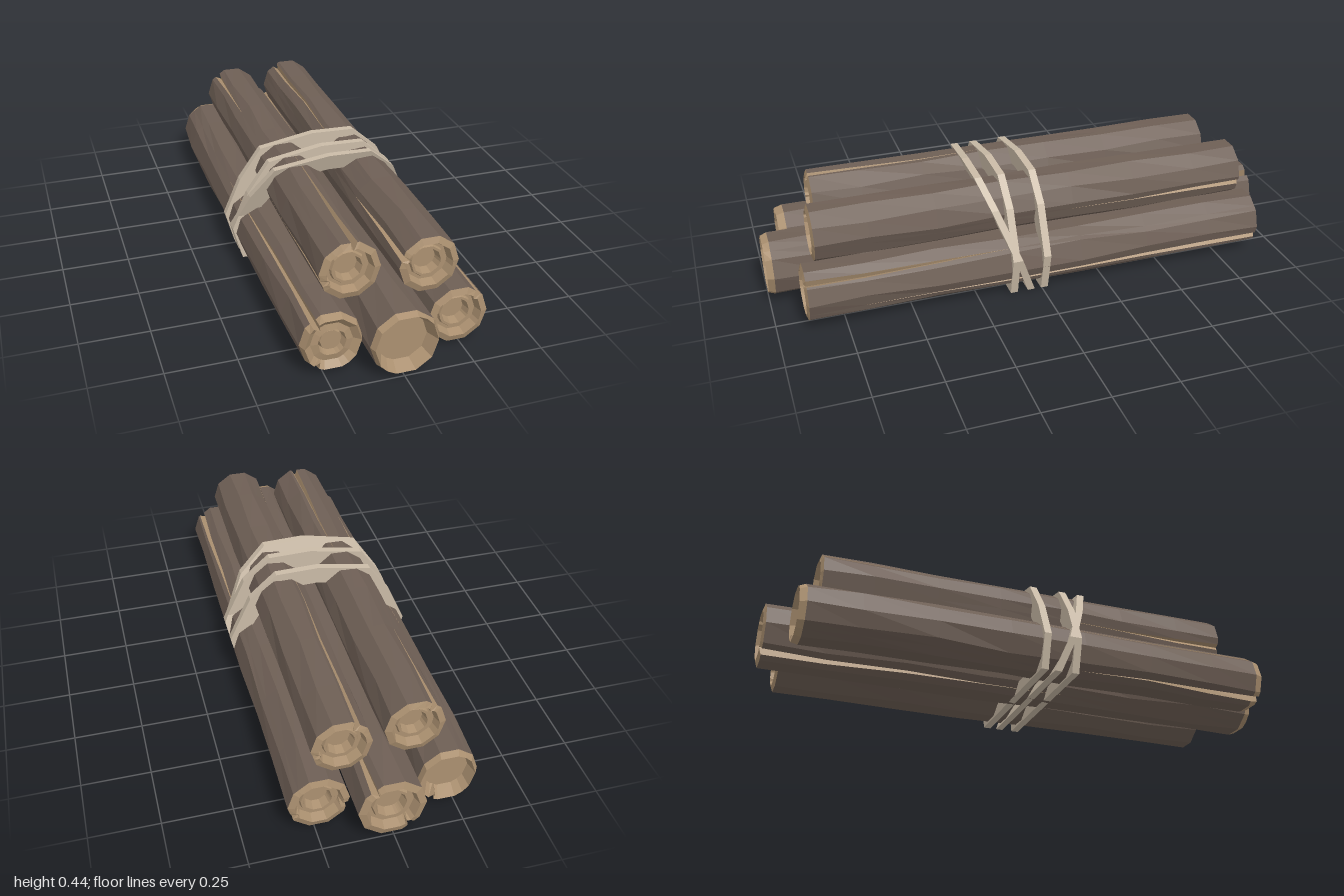
import * as THREE from 'three';

const SIDES = 10;

function makeRandom(seed) {
  let s = seed;
  return () => ((s = (s * 16807) % 2147483647) / 2147483647);
}

// End profiles: [fraction of radius, offset along the log], from rim to centre
const BOWL = [[1, -0.025], [0.92, 0], [0.74, -0.05], [0, -0.05]];
const STEPS = [[1, -0.008], [0.78, 0], [0.69, -0.035], [0.58, -0.035], [0.54, -0.025],
  [0.46, -0.025], [0.39, -0.06], [0, -0.06]];
const BEVELLED_STEPS = [[1, -0.03], [0.9, 0], [0.68, -0.02], [0.46, -0.015], [0.4, -0.05],
  [0.34, -0.03], [0, -0.03]];

// cracks: { deg, end (1 front, -1 back), len }
const LOGS = [
  { name: 'bottomRightLog', x: -0.22, y: 0.112, r: 0.109, z0: -0.91, z1: 0.92, front: BEVELLED_STEPS, back: BOWL,
    bulge: -0.018, cracks: [{ deg: 126, end: 1, len: 0.9 }, { deg: 234, end: 1, len: 0.6 }, { deg: 304, end: -1, len: 0.9 }] },
  { name: 'bottomMiddleLog', x: 0.005, y: 0.115, r: 0.12, z0: -1, z1: 1, front: BOWL, back: STEPS,
    bulge: 0, cracks: [{ deg: 234, end: -1, len: 0.9 }, { deg: 54, end: -1, len: 0.4 }] },
  { name: 'bottomLeftLog', x: 0.235, y: 0.111, r: 0.108, z0: -0.91, z1: 0.89, front: STEPS, back: STEPS,
    bulge: 0, cracks: [{ deg: 47, end: 1, len: 0.75 }, { deg: 336, end: -1, len: 1.5 }, { deg: 198, end: -1, len: 0.5 }] },
  { name: 'topRightLog', x: -0.122, y: 0.3, r: 0.109, z0: -0.83, z1: 0.8, front: STEPS, back: STEPS,
    bulge: 0, cracks: [{ deg: 128, end: -1, len: 0.35 }, { deg: 83, end: 1, len: 0.55 }, { deg: 200, end: 1, len: 0.5 }] },
  { name: 'topLeftLog', x: 0.143, y: 0.299, r: 0.107, z0: -0.86, z1: 0.84, front: STEPS, back: STEPS,
    bulge: 0, cracks: [{ deg: 120, end: -1, len: 0.8 }, { deg: 346, end: -1, len: 0.5 }, { deg: 160, end: 1, len: 0.45 }] },
];

// Cross-section points of a log; each crack adds a narrow V groove
function section(log, t, rand) {
  const z = log.z0 + (log.z1 - log.z0) * t;
  const wobble = Math.sin(Math.PI * t) > 0.01 ? 0.07 : 0;
  const base = [];
  for (let i = 0; i < SIDES; i++) {
    const a = (i / SIDES) * Math.PI * 2 + (rand() - 0.5) * wobble * 2;
    const r = log.r * (1 + (rand() - 0.5) * wobble);
    base.push(new THREE.Vector2(Math.cos(a) * r, Math.sin(a) * r));
  }
  const pts = [];
  for (let i = 0; i < SIDES; i++) {
    const next = base[(i + 1) % SIDES];
    pts.push({ p: base[i], groove: 0, crack: false });
    log.cracks.filter((c) => Math.floor(c.deg / 36) === i).forEach((c) => {
      const dist = c.end > 0 ? log.z1 - z : z - log.z0;
      const open = Math.max(0, 1 - dist / c.len);
      const u = c.deg / 36 - i, w = 0.006 + 0.17 * open;
      [-1, 0, 1].forEach((k) => {
        const p = base[i].clone().lerp(next, u + k * w);
        if (k === 0) p.multiplyScalar(1 - 0.26 * open);
        pts.push({ p, groove: open, crack: k < 1 });
      });
    });
  }
  return { pts, z, cap: false };
}

// Rings of an end cap, clamped so that the grooves cut through the rim
function capRings(sec, profile, dir, r) {
  return profile.map(([f, dz]) => ({
    cap: true,
    z: sec.z + dir * dz,
    pts: sec.pts.map((q) => ({
      ...q,
      p: f === 1 ? q.p : q.p.clone().setLength(Math.max(0.00001, Math.min(q.p.length(), r * f))),
    })),
  }));
}

function buildLog(log, seed, bark, wood) {
  const rand = makeRandom(seed);
  const stations = [0, 0.12, 0.27, 0.42, 0.58, 0.73, 0.88, 1];
  const secs = stations.map((t) => section(log, t, rand));
  const last = secs[secs.length - 1];
  const backCap = capRings(secs[0], log.back, -1, log.r).reverse();
  const frontCap = capRings(last, log.front, 1, log.r);
  const rings = [...backCap, ...secs.slice(1, -1), ...frontCap];

  // Sideways bow of the trunk
  const shift = (z) => {
    const t = THREE.MathUtils.clamp((z - log.z0) / (log.z1 - log.z0), 0, 1);
    return log.bulge * Math.sin(Math.PI * Math.sqrt(t));
  };
  const barkPos = [], woodPos = [];
  for (let j = 0; j < rings.length - 1; j++) {
    const lo = rings[j], hi = rings[j + 1], n = lo.pts.length;
    const at = (ring, i) => [ring.pts[i].p.x + shift(ring.z), ring.pts[i].p.y, ring.z];
    for (let i = 0; i < n; i++) {
      const k = (i + 1) % n;
      const split = lo.pts[i].crack && Math.max(lo.pts[i].groove, hi.pts[i].groove) > 0;
      const out = (lo.cap && hi.cap) || split ? woodPos : barkPos;
      const a = at(lo, i), b = at(lo, k), c = at(hi, k), d = at(hi, i);
      out.push(...a, ...b, ...c, ...a, ...c, ...d);
    }
  }
  const geo = new THREE.BufferGeometry();
  geo.setAttribute('position', new THREE.Float32BufferAttribute([...barkPos, ...woodPos], 3));
  geo.addGroup(0, barkPos.length / 3, 0);
  geo.addGroup(barkPos.length / 3, woodPos.length / 3, 1);
  geo.computeVertexNormals();
  const mesh = new THREE.Mesh(geo, [bark, wood]);
  mesh.name = log.name;
  mesh.position.set(log.x, log.y, 0);
  return mesh;
}

// Flat binding loop around the bundle, optionally leaning along z
function buildBinding(name, z, lean, material) {
  const outer = [[-0.322, 0], [0.322, 0], [0.355, 0.155], [0.27, 0.335], [0.165, 0.428],
    [0, 0.432], [-0.21, 0.395], [-0.295, 0.275], [-0.358, 0.13]];
  const inner = [[-0.285, 0.042], [0.285, 0.042], [0.3, 0.155], [0.215, 0.29], [0.13, 0.362],
    [0, 0.365], [-0.165, 0.335], [-0.235, 0.235], [-0.305, 0.13]];
  const toPoints = (list) => list.map(([x, y]) => new THREE.Vector2(x, y));
  const shape = new THREE.Shape(toPoints(outer));
  shape.holes.push(new THREE.Path(toPoints(inner)));
  const geo = new THREE.ExtrudeGeometry(shape, { depth: 0.028, bevelEnabled: false });
  const pos = geo.attributes.position;
  for (let i = 0; i < pos.count; i++) {
    pos.setZ(i, pos.getZ(i) - 0.014 + z + lean * pos.getY(i));
  }
  geo.computeVertexNormals();
  const mesh = new THREE.Mesh(geo, material);
  mesh.name = name;
  return mesh;
}

export function createModel() {
  const bark = new THREE.MeshStandardMaterial({ color: 0x6e5f55 });
  bark.name = 'bark';
  const wood = new THREE.MeshStandardMaterial({ color: 0xab9070 });
  wood.name = 'cutWood';
  const rope = new THREE.MeshStandardMaterial({ color: 0xcabba7 });
  rope.name = 'rope';

  const model = new THREE.Group();
  model.name = 'logBundle';
  LOGS.forEach((log, i) => model.add(buildLog(log, 101 + i * 977, bark, wood)));
  model.add(buildBinding('backBinding', -0.008, 0, rope));
  model.add(buildBinding('frontBinding', 0.113, 0, rope));
  model.add(buildBinding('leaningBinding', 0.045, 0.37, rope));
  return model;
}
